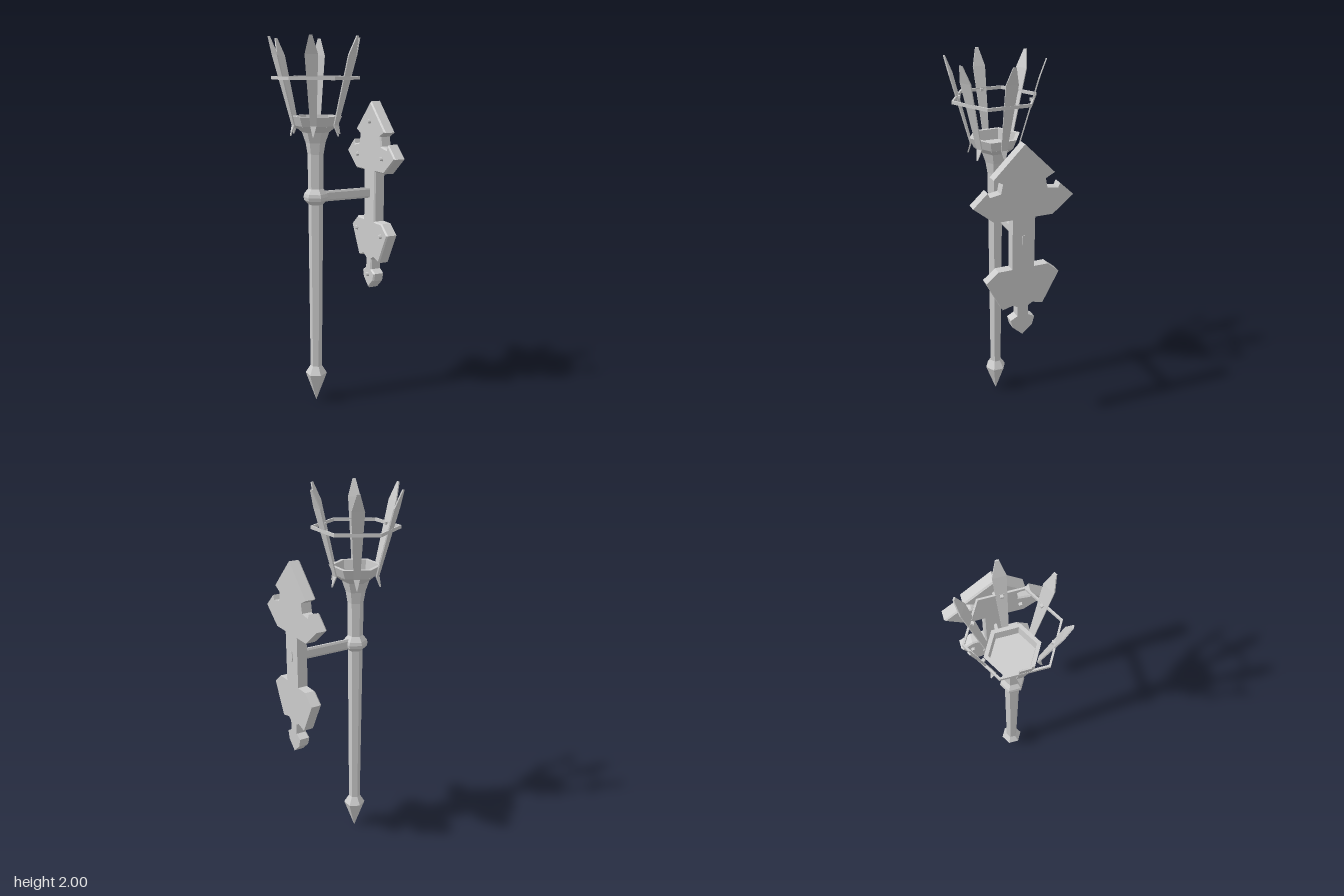
import * as THREE from 'three';

const AXIS_X = -0.067; // staff axis

export function createModel() {
  const model = new THREE.Group();
  model.name = 'sceptre';
  const mat = new THREE.MeshStandardMaterial({ color: 0xcccccc, flatShading: true });

  const add = (parent, name, geometry, x = 0, y = 0, z = 0) => {
    const mesh = new THREE.Mesh(geometry, mat);
    mesh.name = name;
    mesh.position.set(x, y, z);
    parent.add(mesh);
    return mesh;
  };
  const hexLathe = (profile) =>
    new THREE.LatheGeometry(profile.map(([r, y]) => new THREE.Vector2(r, y)), 6);

  const staff = new THREE.Group();
  staff.name = 'staff';
  staff.position.x = AXIS_X;
  model.add(staff);

  // Pointed foot, tapered shaft, collar and hollow cup in one hexagonal profile
  add(staff, 'shaft', hexLathe([
    [0, 0], [0.06, 0.165], [0.032, 0.21], [0.04, 1.13], [0.062, 1.152], [0.066, 1.17],
    [0.062, 1.188], [0.041, 1.215], [0.043, 1.4], [0.053, 1.46], [0.072, 1.515],
    [0.118, 1.55], [0.14, 1.6], [0.118, 1.6], [0.112, 1.545], [0, 1.545],
  ]));

  // Hexagonal hoop around the blades
  add(staff, 'hoop', hexLathe([
    [0.219, 1.786], [0.23, 1.786], [0.23, 1.803], [0.219, 1.803], [0.219, 1.786],
  ]));

  // Blade: a thin box whose rows follow [height, distance from axis, half width]
  const stations = [
    [1.5, 0.143, 0.002], [1.555, 0.126, 0.016], [1.91, 0.224, 0.033], [2.0, 0.255, 0.008],
  ];
  const rows = stations.length - 1;
  const bladeGeo = new THREE.BoxGeometry(2, rows, 0.007, 1, rows, 1);
  const p = bladeGeo.attributes.position;
  for (let i = 0; i < p.count; i++) {
    const [y, r, w] = stations[Math.round(p.getY(i) + rows / 2)];
    p.setXYZ(i, p.getX(i) * w, y, p.getZ(i) + r);
  }
  bladeGeo.computeVertexNormals();

  for (let i = 0; i < 6; i++) {
    const blade = new THREE.Group();
    blade.name = 'blade' + (i + 1);
    blade.rotation.y = Math.PI / 6 + (i * Math.PI) / 3;
    staff.add(blade);
    add(blade, 'bladeLeaf', bladeGeo);
    // Pin that fixes the blade to the hoop
    add(blade, 'bladePin', new THREE.BoxGeometry(0.014, 0.014, 0.022), 0, 1.794, 0.187);
  }

  // Chamfered arm through the plate
  const arm = new THREE.Shape([
    [-0.01, -0.018], [-0.005, -0.029], [0.005, -0.029], [0.01, -0.018],
    [0.01, 0.018], [0.005, 0.029], [-0.005, 0.029], [-0.01, 0.018],
  ].map(([a, b]) => new THREE.Vector2(a, b)));
  const armMesh = add(model, 'arm',
    new THREE.ExtrudeGeometry(arm, { depth: 0.365, bevelEnabled: false }), -0.04, 1.17, 0);
  armMesh.rotation.y = Math.PI / 2;

  // Side plate: mirrored half outline as [z, y], from top to bottom
  const half = [
    [0.16, 1.51], [0.112, 1.485], [0.122, 1.435], [0.18, 1.425], [0.19, 1.45],
    [0.265, 1.38], [0.155, 1.29], [0.06, 1.29], [0.06, 1.015], [0.135, 1.015],
    [0.2, 0.96], [0.112, 0.79], [0.055, 0.805], [0.03, 0.79], [0.03, 0.735],
    [0.067, 0.715], [0.055, 0.67],
  ];
  const outline = [[0, 1.67], ...half, [0, 0.62],
    ...half.slice().reverse().map(([z, y]) => [-z, y])];
  const plateShape = new THREE.Shape(outline.map(([z, y]) => new THREE.Vector2(z, y)));
  const plate = new THREE.Group();
  plate.name = 'sidePlate';
  model.add(plate);
  const body = add(plate, 'plateBody',
    new THREE.ExtrudeGeometry(plateShape, { depth: 0.052, bevelEnabled: false }), 0.268);
  // Chamfered inner face, its far side sunk in the body
  const face = add(plate, 'plateInnerFace', new THREE.ExtrudeGeometry(plateShape, {
    depth: 0.001, bevelThickness: 0.008, bevelSize: 0.007, bevelOffset: -0.007, bevelSegments: 1,
  }), 0.268);
  body.rotation.y = face.rotation.y = Math.PI / 2;

  // Rivets on the inner face
  const rivets = [[0, 1.56], [0.135, 1.37], [-0.135, 1.37], [0.135, 0.945], [-0.135, 0.945], [0, 0.7]];
  for (const [z, y] of rivets) {
    const rivet = add(plate, 'rivet', new THREE.CylinderGeometry(0.009, 0.014, 0.016, 6), 0.254, y, z);
    rivet.rotation.z = Math.PI / 2;
  }
  return model;
}
